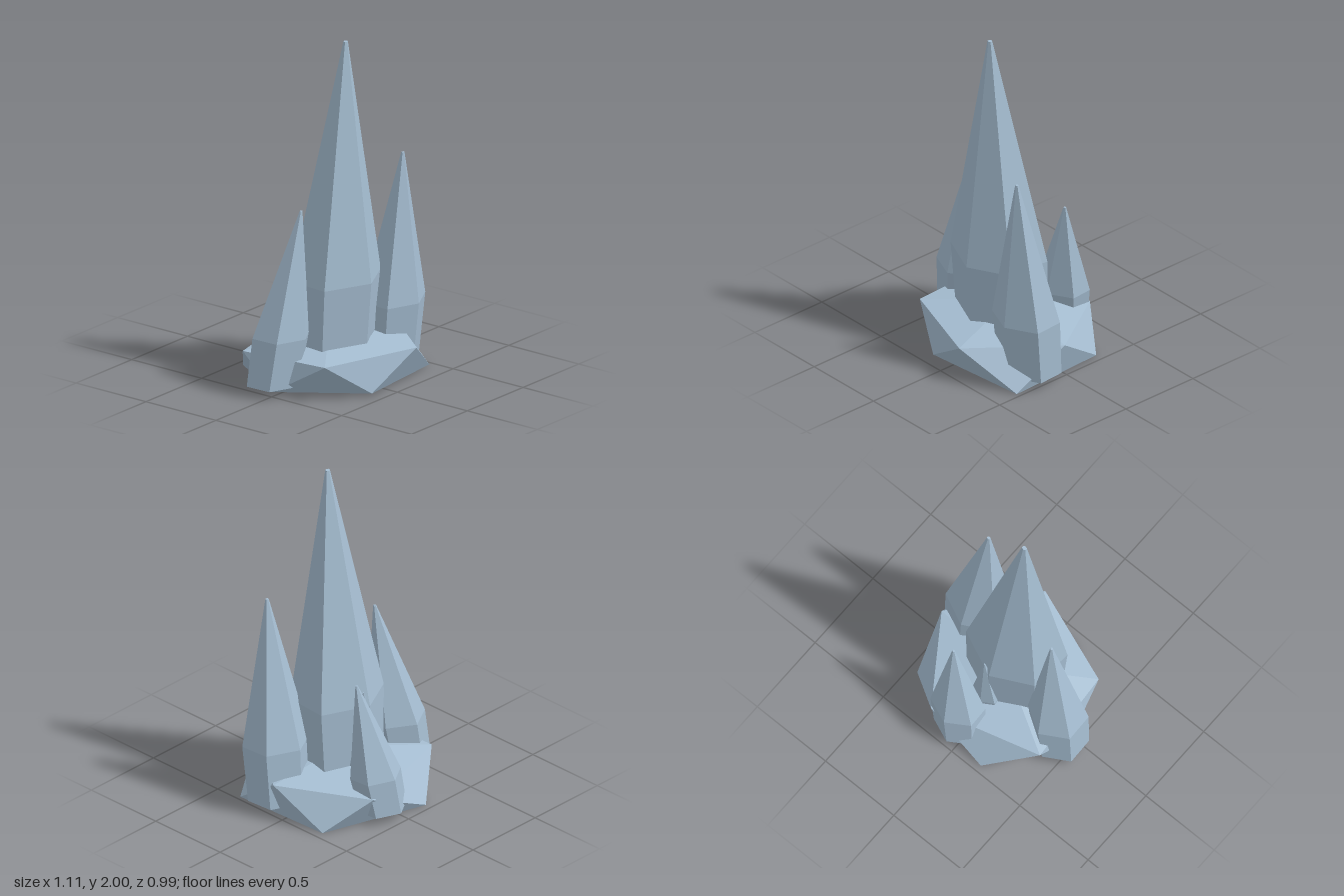
import * as THREE from 'three';
import { ConvexGeometry } from 'three/addons/geometries/ConvexGeometry.js';

const V = (x, y, z) => new THREE.Vector3(x, y, z);

// Leaning six-sided crystal: small blunt tip, widest ring (x, z pairs) at height midY, narrower foot.
function crystal(tip, midY, ring, footY = 0.05, footScale = 0.93) {
  const n = ring.length;
  const cx = ring.reduce((s, p) => s + p[0], 0) / n;
  const cz = ring.reduce((s, p) => s + p[1], 0) / n;
  const [tx, ty, tz] = tip;
  const k = (midY - footY) / (ty - midY); // carry the lean on down to the foot
  const fx = cx - (tx - cx) * k, fz = cz - (tz - cz) * k;
  const pts = [];
  for (const [x, z] of ring) {
    const dx = x - cx, dz = z - cz;
    pts.push(V(fx + dx * footScale, footY, fz + dz * footScale));
    pts.push(V(x, midY, z));
    pts.push(V(tx + dx * 0.05, ty, tz + dz * 0.05));
  }
  return new ConvexGeometry(pts);
}

export function createModel() {
  const group = new THREE.Group();
  const ice = new THREE.MeshStandardMaterial({ color: 0xa5bdd1 });
  ice.name = 'paleIceBlue';
  const add = (name, geometry) => {
    const mesh = new THREE.Mesh(geometry, ice);
    mesh.name = name;
    group.add(mesh);
  };

  // Squat twenty-sided base rock: two staggered rings of five and two poles
  add('baseRock', new ConvexGeometry([
    V(0.02, 0.28, 0), V(0, 0, 0),
    V(0.165, 0.22, 0.505), V(-0.4, 0.21, 0.3), V(-0.44, 0.2, -0.255), V(0.21, 0.18, -0.43), V(0.53, 0.22, 0.04),
    V(-0.14, 0.015, 0.43), V(0.475, 0, 0.35), V(0.45, 0, -0.265), V(-0.18, 0, -0.46), V(-0.465, 0.015, -0.02),
  ]));

  // Crystals growing from the rock
  add('mainCrystal', crystal([0, 2, 0.13], 0.6,
    [[-0.01, -0.19], [0.258, -0.07], [0.24, 0.19], [0.005, 0.31], [-0.265, 0.19], [-0.245, -0.07]]));
  add('leftCrystal', crystal([0.363, 1.27, 0.25], 0.39,
    [[0.355, 0], [0.54, 0.085], [0.552, 0.26], [0.375, 0.355], [0.187, 0.28], [0.185, 0.09]]));
  add('rightCrystal', crystal([-0.28, 1.05, 0.035], 0.33,
    [[-0.38, -0.2], [-0.225, -0.105], [-0.24, 0.06], [-0.36, 0.13], [-0.53, 0.06], [-0.535, -0.11]]));
  add('backCrystal', crystal([0.18, 0.84, -0.27], 0.27,
    [[0.08, -0.472], [0.232, -0.41], [0.243, -0.28], [0.105, -0.2], [-0.045, -0.26], [-0.05, -0.39]]));
  add('smallCrystal', crystal([0.03, 0.7, -0.18], 0.25,
    [[0.01, -0.24], [0.1, -0.205], [0.105, -0.13], [0.03, -0.08], [-0.055, -0.12], [-0.06, -0.2]]));

  return group;
}
